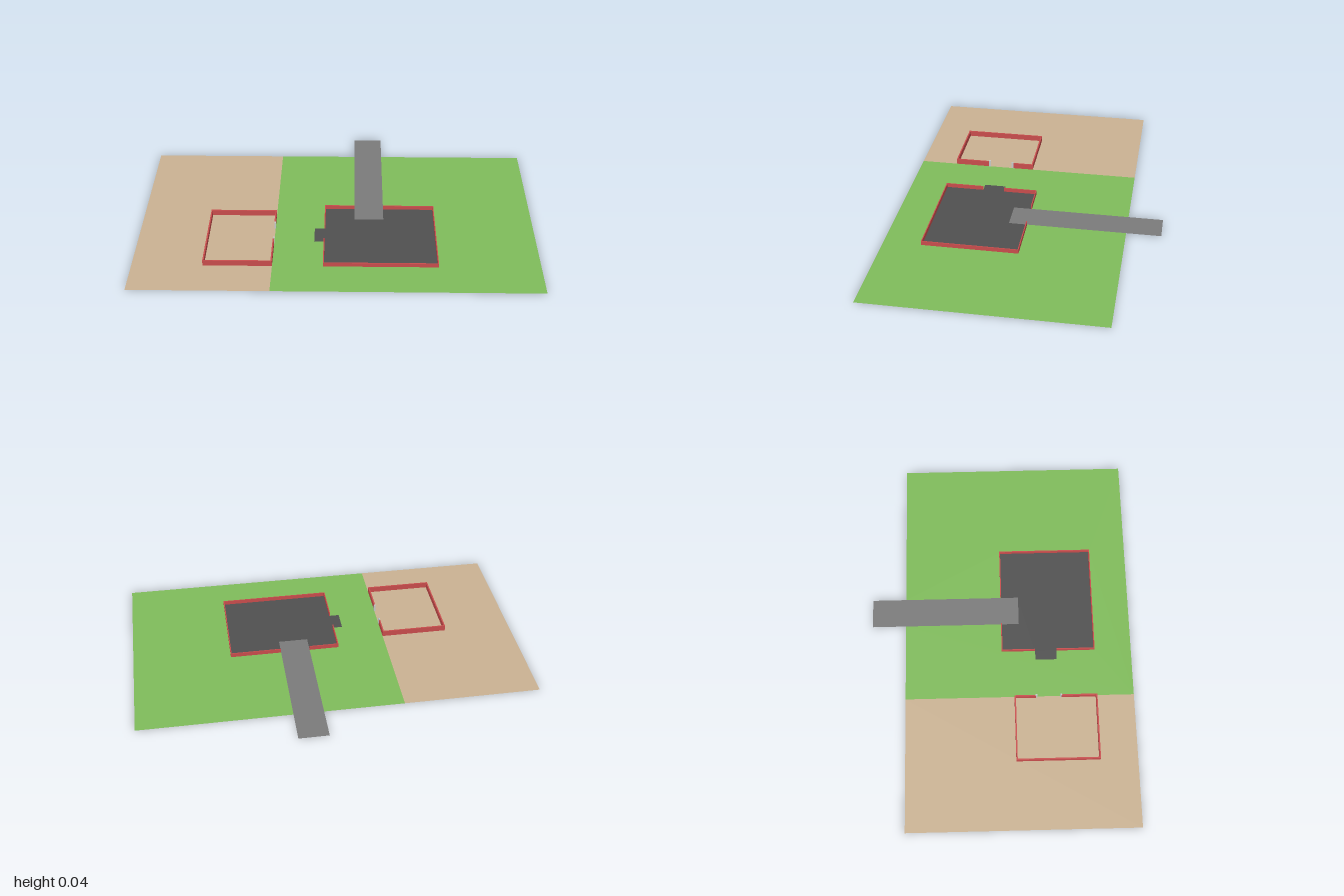
import * as THREE from 'three';

const mat = (name, color, side = THREE.FrontSide) => {
  const m = new THREE.MeshStandardMaterial({ color, side });
  m.name = name;
  return m;
};

export function createModel() {
  const group = new THREE.Group();
  const grass = mat('grass green', 0x7fbb5a, THREE.DoubleSide);
  const sand = mat('sand tan', 0xc9b192, THREE.DoubleSide);
  const asphalt = mat('asphalt dark grey', 0x505050, THREE.DoubleSide);
  const paving = mat('paving grey', 0x7a7a7a, THREE.DoubleSide);
  const brick = mat('brick red', 0xc84c4c);
  const steel = mat('post light grey', 0xc4c8c8);

  // Flat sheet from [x, z] corners
  const sheet = (name, material, corners) => {
    const shape = new THREE.Shape(corners.map(([x, z]) => new THREE.Vector2(x, -z)));
    const mesh = new THREE.Mesh(new THREE.ShapeGeometry(shape).rotateX(-Math.PI / 2), material);
    mesh.name = name;
    mesh.position.y = 0.0008;
    group.add(mesh);
  };
  // Upright block covering x0..x1, z0..z1 from the ground up
  const block = (name, material, x0, x1, z0, z1, h) => {
    const mesh = new THREE.Mesh(new THREE.BoxGeometry(x1 - x0, h, z1 - z0), material);
    mesh.name = name;
    mesh.position.set((x0 + x1) / 2, h / 2, (z0 + z1) / 2);
    group.add(mesh);
  };

  const back = -0.5, front = 0.675, seam = -0.313;
  const px0 = 0.088, px1 = 0.238, pEnd = 0.094;               // path
  const fx0 = -0.065, fx1 = 0.5, fz1 = 0.485;                 // paved yard
  const tx = -0.113, tz0 = 0.175, tz1 = 0.286;                // side doorstep

  // Ground sheets, cut so that they meet edge to edge
  sheet('sandGround', sand, [[-1, back], [seam, back], [seam, front], [-1, front]]);
  sheet('grassGround', grass, [
    [seam, back], [px0, back], [px0, 0], [fx0, 0], [fx0, tz0], [tx, tz0], [tx, tz1], [fx0, tz1],
    [fx0, fz1], [fx1, fz1], [fx1, 0], [px1, 0], [px1, back], [1, back], [1, front], [seam, front],
  ]);
  sheet('yardFloor', asphalt, [
    [fx0, 0], [px0, 0], [px0, pEnd], [px1, pEnd], [px1, 0], [fx1, 0], [fx1, fz1], [fx0, fz1],
    [fx0, tz1], [tx, tz1], [tx, tz0], [fx0, tz0],
  ]);
  sheet('path', paving, [[px0, -0.675], [px1, -0.675], [px1, pEnd], [px0, pEnd]]);

  // Low wall round the yard, open at the path and the doorstep
  const t = 0.005, h = 0.022;
  block('yardWallFront', brick, fx0, fx1, fz1 - t, fz1, h);
  block('yardWallLeft', brick, fx1 - t, fx1, 0, fz1, h);
  block('yardWallBackA', brick, fx0, px0, 0, t, h);
  block('yardWallBackB', brick, px1, fx1, 0, t, h);
  block('yardWallRightA', brick, fx0, fx0 + t, 0, tz0, h);
  block('yardWallRightB', brick, fx0, fx0 + t, tz1, fz1, h);

  // Enclosure on the sand, with a gateway between two posts
  const ex0 = -0.652, ez0 = 0.06, ez1 = 0.485, w = 0.007, eh = 0.03;
  block('penWallFront', brick, ex0, seam, ez1 - w, ez1, eh);
  block('penWallBack', brick, ex0, seam, ez0, ez0 + w, eh);
  block('penWallRight', brick, ex0, ex0 + w, ez0, ez1, eh);
  block('penWallLeftA', brick, seam - w, seam, ez0, 0.17, eh);
  block('penWallLeftB', brick, seam - w, seam, 0.302, ez1, eh);
  for (const z of [0.173, 0.299]) block('gatePost', steel, seam - 0.006, seam + 0.002, z - 0.005, z + 0.005, 0.036);

  return group;
}
